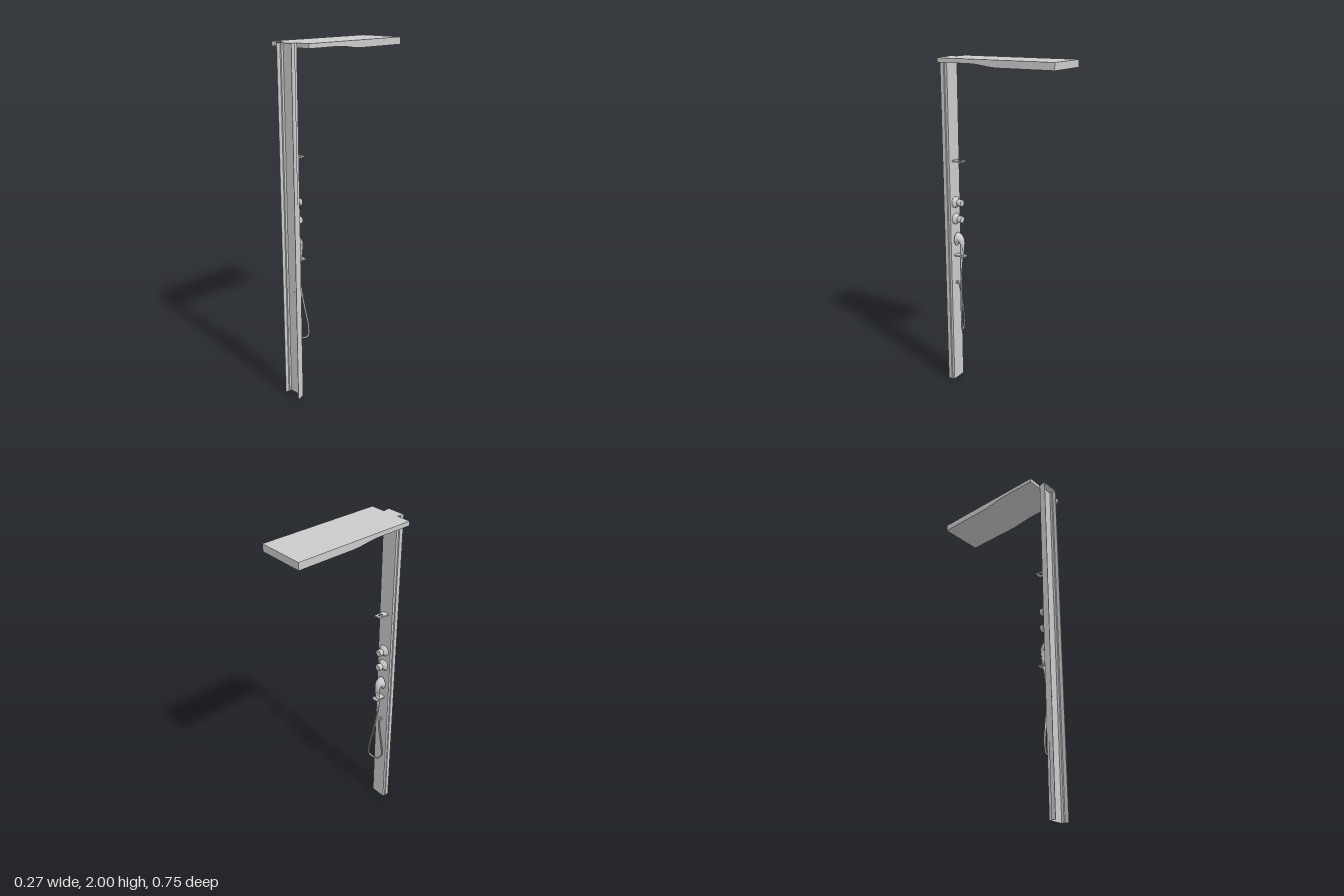
import * as THREE from 'three';
import { toCreasedNormals } from 'three/addons/utils/BufferGeometryUtils.js';

const material = new THREE.MeshStandardMaterial({ color: 0xcccccc, side: THREE.DoubleSide });
const WALL_Z = 0.335; // face of the column that carries the fittings

function add(parent, name, geometry) {
  const mesh = new THREE.Mesh(geometry, material);
  mesh.name = name;
  parent.add(mesh);
  return mesh;
}

const shapeOf = (points) => new THREE.Shape(points.map(([x, y]) => new THREE.Vector2(x, y)));

// Extrudes an (x, z) outline downwards from height top
function slab(shape, top, height) {
  return new THREE.ExtrudeGeometry(shape, { depth: height, bevelEnabled: false, curveSegments: 24 })
    .rotateX(Math.PI / 2).translate(0, top, 0);
}

// Lathe of [radius, height] points, with sharp edges kept
function turned(points) {
  const lathe = new THREE.LatheGeometry(points.map(([r, h]) => new THREE.Vector2(r, h)), 40);
  return toCreasedNormals(lathe, 0.6);
}

// Skin over elliptical rings [y, z, tilt, half width, half depth]
function loft(rings, sides = 28) {
  const positions = [], indices = [];
  rings.forEach(([y, z, tilt, rx, rv], i) => {
    for (let j = 0; j < sides; j++) {
      const t = (j / sides) * Math.PI * 2;
      const v = rv * Math.sin(t);
      positions.push(rx * Math.cos(t), y + v * Math.sin(tilt), z - v * Math.cos(tilt));
      if (i === rings.length - 1) continue;
      const a = i * sides + j, b = i * sides + (j + 1) % sides;
      indices.push(a, b, b + sides, a, b + sides, a + sides);
    }
  });
  const geometry = new THREE.BufferGeometry();
  geometry.setAttribute('position', new THREE.Float32BufferAttribute(positions, 3));
  geometry.setIndex(indices);
  return toCreasedNormals(geometry, 0.8);
}

export function createModel() {
  const model = new THREE.Group();
  model.name = 'showerPanel';

  // Column: stepped sheet channel, open at +z, with a lid on top
  const outer = [[0.054, 0.377], [0.054, 0.353], [0.049, 0.35], [0.049, WALL_Z]];
  const inner = [[0.046, WALL_Z + 0.003], [0.046, 0.352], [0.051, 0.355], [0.051, 0.377]];
  const mirror = (points) => points.map(([x, z]) => [-x, z]).reverse();
  const channel = shapeOf([...outer, ...mirror(outer), ...mirror(inner), ...inner]);
  add(model, 'column', slab(channel, 1.997, 1.997));
  add(model, 'columnLid', slab(shapeOf([...outer, ...mirror(outer)]), 2, 0.003));

  // Overhead arm: side profile, thicker towards the free end
  const arm = new THREE.Shape();
  arm.moveTo(-WALL_Z, 2);
  arm.lineTo(-WALL_Z, 1.976);
  arm.lineTo(-0.13, 1.976);
  arm.bezierCurveTo(-0.06, 1.975, -0.02, 1.961, 0.05, 1.96);
  arm.lineTo(0.377, 1.96);
  arm.lineTo(0.377, 2);
  const armGeometry = new THREE.ExtrudeGeometry(arm, { depth: 0.27, bevelEnabled: false, curveSegments: 12 })
    .translate(0, 0, -0.135).rotateY(Math.PI / 2);
  add(model, 'overheadArm', toCreasedNormals(armGeometry, 0.5));

  // Concentric spray rings under the arm
  const spray = new THREE.Group();
  spray.name = 'overheadSpray';
  spray.position.set(0, 1.96, -0.205);
  model.add(spray);
  for (const [r0, r1] of [[0.085, 0.104], [0.045, 0.066]]) {
    add(spray, 'sprayRing', turned([[r0, 0], [r0 + 0.004, -0.002], [r1 - 0.004, -0.002], [r1, 0]]));
  }

  // Brackets: thin plates with a round hole
  for (const [name, top] of [['upperBracket', 1.419], ['handsetBracket', 0.839]]) {
    const plate = shapeOf([[-0.021, 0.266], [0.021, 0.266], [0.021, WALL_Z], [-0.021, WALL_Z]]);
    const hole = new THREE.Path();
    hole.absarc(0, 0.294, 0.013, 0, Math.PI * 2, true);
    plate.holes.push(hole);
    add(model, name, slab(plate, top, 0.008));
  }

  // Control knobs: domed collar and cylindrical grip
  const knobProfile = [[0, 0], [0.034, 0], [0.034, 0.004], [0.03, 0.011], [0.021, 0.017],
    [0.017, 0.022], [0.017, 0.026], [0.021, 0.028], [0.021, 0.048], [0.019, 0.051], [0, 0.051]];
  for (const y of [1.165, 1.063]) {
    const knob = add(model, 'controlKnob', turned(knobProfile));
    knob.rotation.x = -Math.PI / 2;
    knob.position.set(0, y, WALL_Z);
  }

  // Handset: tapered handle bending into an oval spray head facing the column
  add(model, 'handset', loft([
    [0.735, 0.302, -0.1, 0, 0],
    [0.735, 0.302, -0.1, 0.007, 0.007],
    [0.79, 0.3, -0.1, 0.009, 0.009],
    [0.84, 0.294, -0.12, 0.0115, 0.0115],
    [0.88, 0.29, -0.05, 0.014, 0.013],
    [0.912, 0.289, 0.25, 0.017, 0.0145],
    [0.932, 0.294, 0.7, 0.021, 0.019],
    [0.939, 0.303, 1.1, 0.025, 0.026],
    [0.938, 0.315, 1.4, 0.029, 0.036],
    [0.937, 0.323, 1.53, 0.031, 0.042],
    [0.937, 0.327, 1.53, 0.03, 0.041],
    [0.937, 0.327, 1.53, 0, 0],
  ]));

  // Hose: hanging loop from the handset back to the column
  const hosePath = new THREE.CatmullRomCurve3([
    [0, 0.745, 0.302], [0.006, 0.68, 0.298], [0.022, 0.56, 0.288], [0.042, 0.42, 0.275],
    [0.038, 0.37, 0.276], [0.015, 0.35, 0.288], [-0.018, 0.352, 0.302], [-0.038, 0.385, 0.312],
    [-0.034, 0.45, 0.313], [-0.014, 0.56, 0.311], [-0.002, 0.63, 0.312],
    [0, 0.652, 0.32], [0, 0.655, 0.339],
  ].map((p) => new THREE.Vector3(...p)));
  add(model, 'hose', new THREE.TubeGeometry(hosePath, 120, 0.0055, 12));

  // Hose outlet collar on the column
  const outlet = add(model, 'hoseOutlet', turned([[0, 0], [0.011, 0], [0.011, 0.005], [0.008, 0.009], [0, 0.009]]));
  outlet.rotation.x = -Math.PI / 2;
  outlet.position.set(0, 0.655, WALL_Z);

  return model;
}
